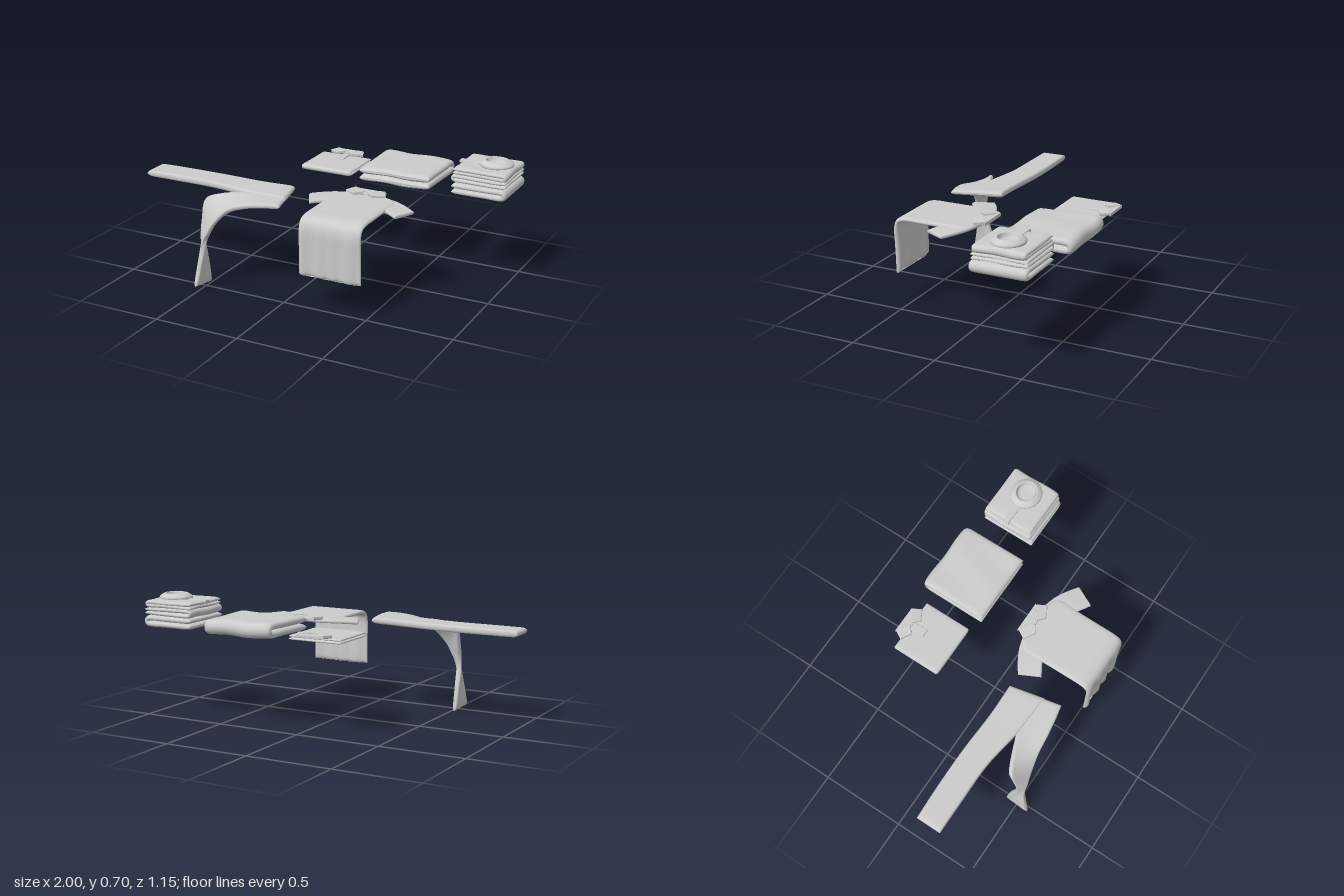
import * as THREE from 'three';

const material = new THREE.MeshStandardMaterial({ color: 0xcccccc, side: THREE.DoubleSide });
const curve = (pts) => new THREE.CatmullRomCurve3(pts.map((p) => new THREE.Vector3(...p)));

function mesh(name, geometry) {
  const m = new THREE.Mesh(geometry, material);
  m.name = name;
  return m;
}

// Padded cloth strip between two edge curves; wave(t, x) ripples it along its normal
function cloth(name, edgeA, edgeB, thickness, wave = () => 0) {
  const rows = 72, around = 48, pos = [], index = [];
  const A = curve(edgeA), B = curve(edgeB);
  const mid = (t) => A.getPoint(t).add(B.getPoint(t)).multiplyScalar(0.5);
  for (let i = 0; i <= rows; i++) {
    const t = 0.5 - 0.5 * Math.cos((Math.PI * i) / rows);
    const c = mid(t);
    const h = B.getPoint(t).sub(A.getPoint(t)).multiplyScalar(0.5);
    const dir = mid(Math.min(1, t + 0.004)).sub(mid(Math.max(0, t - 0.004)));
    const n = dir.cross(h).normalize();
    const end = Math.max(0.25, Math.sqrt(1 - Math.abs(2 * t - 1) ** 40));
    for (let j = 0; j < around; j++) {
      const a = (j / around) * Math.PI * 2, x = Math.cos(a);
      const y = Math.sign(Math.sin(a)) * Math.sqrt(Math.max(0, 1 - Math.abs(x) ** 18));
      const p = c.clone().addScaledVector(h, x)
        .addScaledVector(n, (y * end * thickness) / 2 + wave(t, x));
      pos.push(p.x, p.y, p.z);
    }
  }
  for (let i = 0; i < rows; i++) {
    for (let j = 0; j < around; j++) {
      const k = (j + 1) % around, r = i * around, s = r + around;
      index.push(r + j, r + k, s + j, r + k, s + k, s + j);
    }
  }
  // end caps
  const last = rows * around;
  for (let j = 1; j < around - 1; j++) {
    index.push(0, j + 1, j, last, last + j, last + j + 1);
  }
  const g = new THREE.BufferGeometry();
  g.setAttribute('position', new THREE.Float32BufferAttribute(pos, 3));
  g.setIndex(index);
  g.computeVertexNormals();
  return mesh(name, g);
}

// Flat panel in the ground plane, outline given as [x, z]
function panel(name, outline, y, depth) {
  const s = new THREE.Shape(outline.map(([x, z]) => new THREE.Vector2(x, -z)));
  const g = new THREE.ExtrudeGeometry(s, {
    depth, bevelSize: 0.005, bevelThickness: 0.005, bevelSegments: 3,
  });
  g.rotateX(-Math.PI / 2);
  g.translate(0, y, 0);
  return mesh(name, g);
}

// Shirt collar with two wings and a button placket
function collar(x, y, z, scale, placketLength) {
  const g = new THREE.Group();
  g.name = 'shirtCollar';
  for (const s of [-1, 1]) {
    const wing = [[0.115, 0.065], [0.085, 0.012], [0.012, 0.064], [0.055, 0.1]];
    const m = panel('collarWing', wing.map(([a, b]) => [a * s, b]), 0, 0.012);
    m.rotation.z = -0.08 * s;
    m.position.y = 0.008;
    g.add(m);
  }
  g.add(panel('collarBand', [[-0.09, 0.008], [0.09, 0.008], [0.07, 0.03], [0.01, 0.07],
    [-0.01, 0.07], [-0.07, 0.03]], -0.004, 0.012));
  g.add(panel('placket', [[-0.022, 0.07], [0.022, 0.07], [0.022, 0.07 + placketLength],
    [-0.022, 0.07 + placketLength]], -0.013, 0.011));
  g.position.set(x, y, z);
  g.scale.setScalar(scale);
  return g;
}

// Cloth doubled over: path [u, y] swept between two limits along the other axis
function swept(name, path, axis, lo, hi, thickness, wave) {
  const edge = (v) => path.map(([u, y]) => (axis === 'x' ? [v, y, u] : [u, y, v]));
  return cloth(name, edge(lo), edge(hi), thickness, wave);
}
function foldPath(open, fold, yLow, yHigh) {
  const r = (yHigh - yLow) / 2, d = Math.sign(fold - open), f = fold - d * r;
  const path = [[open, yLow], [(open * 2 + f) / 3, yLow], [(open + f * 2) / 3, yLow], [f, yLow]];
  path.push([f + d * r * 0.71, yLow + r * 0.29], [fold, yLow + r], [f + d * r * 0.71, yHigh - r * 0.29]);
  path.push([f, yHigh], [(open + f * 2) / 3, yHigh], [(open * 2 + f) / 3, yHigh], [open, yHigh]);
  return path;
}

function trousers() {
  const g = new THREE.Group();
  g.name = 'trousers';
  g.add(cloth('straightLeg',
    [[-1, 0.54, 0.165], [-0.8, 0.54, 0.158], [-0.55, 0.54, 0.158], [-0.3, 0.543, 0.17], [-0.105, 0.548, 0.168]],
    [[-1, 0.54, 0.315], [-0.8, 0.54, 0.315], [-0.55, 0.54, 0.318], [-0.3, 0.541, 0.355], [-0.06, 0.546, 0.37]],
    0.038));
  // second leg twists as it drops over the edge
  g.add(cloth('hangingLeg',
    [[-0.09, 0.546, 0.24], [-0.2, 0.541, 0.29], [-0.31, 0.538, 0.345], [-0.43, 0.534, 0.395],
      [-0.515, 0.51, 0.44], [-0.522, 0.41, 0.47], [-0.518, 0.29, 0.49], [-0.52, 0.15, 0.45], [-0.515, 0.005, 0.427]],
    [[-0.042, 0.542, 0.468], [-0.13, 0.538, 0.485], [-0.23, 0.522, 0.498], [-0.34, 0.478, 0.505],
      [-0.425, 0.39, 0.515], [-0.46, 0.33, 0.522], [-0.487, 0.28, 0.525], [-0.512, 0.15, 0.548], [-0.528, 0.02, 0.575]],
    0.03));
  return g;
}

function hangingShirt() {
  const g = new THREE.Group();
  g.name = 'hangingShirt';
  // body lies flat, then hangs over the edge in ripples
  const path = [[0.07, 0.535, 0.13], [0.12, 0.535, 0.185], [0.25, 0.535, 0.183], [0.38, 0.535, 0.182],
    [0.48, 0.533, 0.182], [0.52, 0.518, 0.182], [0.535, 0.48, 0.182], [0.535, 0.39, 0.182],
    [0.533, 0.3, 0.182], [0.532, 0.213, 0.182]];
  const edge = (s) => path.map(([z, y, w]) => [0.3 + s * w, y, z]);
  g.add(cloth('shirtBody', edge(-1), edge(1), 0.028, (t, x) =>
    0.008 * THREE.MathUtils.smoothstep(t, 0.5, 0.95) * Math.sin(x * 13 + 0.8 * Math.sin(x * 5))));
  for (const s of [-1, 1]) {
    const side = (pts) => pts.map(([x, y, z]) => [0.3 + s * x, y, z]);
    g.add(cloth('sleeve',
      side([[0.07, 0.534, 0.055], [0.18, 0.533, 0.085], [0.25, 0.53, 0.12], [0.318, 0.525, 0.165]]),
      side([[0.1, 0.534, 0.23], [0.18, 0.532, 0.24], [0.22, 0.53, 0.262], [0.258, 0.525, 0.283]]), 0.022));
  }
  g.add(collar(0.29, 0.546, 0.015, 1, 0.15));
  return g;
}

function foldedShirt() {
  const g = new THREE.Group();
  g.name = 'foldedShirt';
  g.add(swept('foldedBody', foldPath(-0.495, -0.213, 0.53, 0.545), 'x', -0.27, 0.05, 0.016));
  g.add(collar(-0.11, 0.558, -0.548, 0.88, 0.1));
  return g;
}

function blanket() {
  const g = new THREE.Group();
  g.name = 'foldedBlanket';
  g.add(swept('blanketFold', foldPath(-0.175, -0.553, 0.544, 0.587), 'x', 0.125, 0.555, 0.043,
    (t, x) => 0.003 * Math.sin(x * 5 + t * 9)));
  return g;
}

function sweater() {
  const g = new THREE.Group();
  g.name = 'foldedSweater';
  const ripple = (t, x) => 0.002 * Math.sin(x * 4 + t * 11);
  g.add(swept('bottomLayer', foldPath(0.68, 0.985, 0.54, 0.573), 'z', -0.525, -0.2, 0.032));
  g.add(swept('middleLayer', foldPath(0.99, 0.68, 0.603, 0.625), 'z', -0.525, -0.21, 0.024, ripple));
  g.add(swept('topLayer', foldPath(0.68, 0.982, 0.645, 0.664), 'z', -0.518, -0.215, 0.026, ripple));
  // neckline ring
  const profile = [[0.07, 0.67], [0.092, 0.674], [0.095, 0.688], [0.082, 0.699], [0.068, 0.707],
    [0.06, 0.706], [0.056, 0.695], [0.045, 0.682], [0.001, 0.68]];
  const neck = mesh('neckline', new THREE.LatheGeometry(
    new THREE.SplineCurve(profile.map((p) => new THREE.Vector2(...p))).getPoints(30), 48));
  neck.position.set(0.88, 0, -0.37);
  neck.scale.set(1.02, 1, 0.94);
  g.add(neck);
  g.add(panel('frontPlacket', [[0.67, -0.383], [0.795, -0.383], [0.795, -0.357], [0.67, -0.357]], 0.668, 0.008));
  return g;
}

export function createModel() {
  const model = new THREE.Group();
  model.name = 'clothes';
  model.add(trousers(), hangingShirt(), foldedShirt(), blanket(), sweater());
  return model;
}
